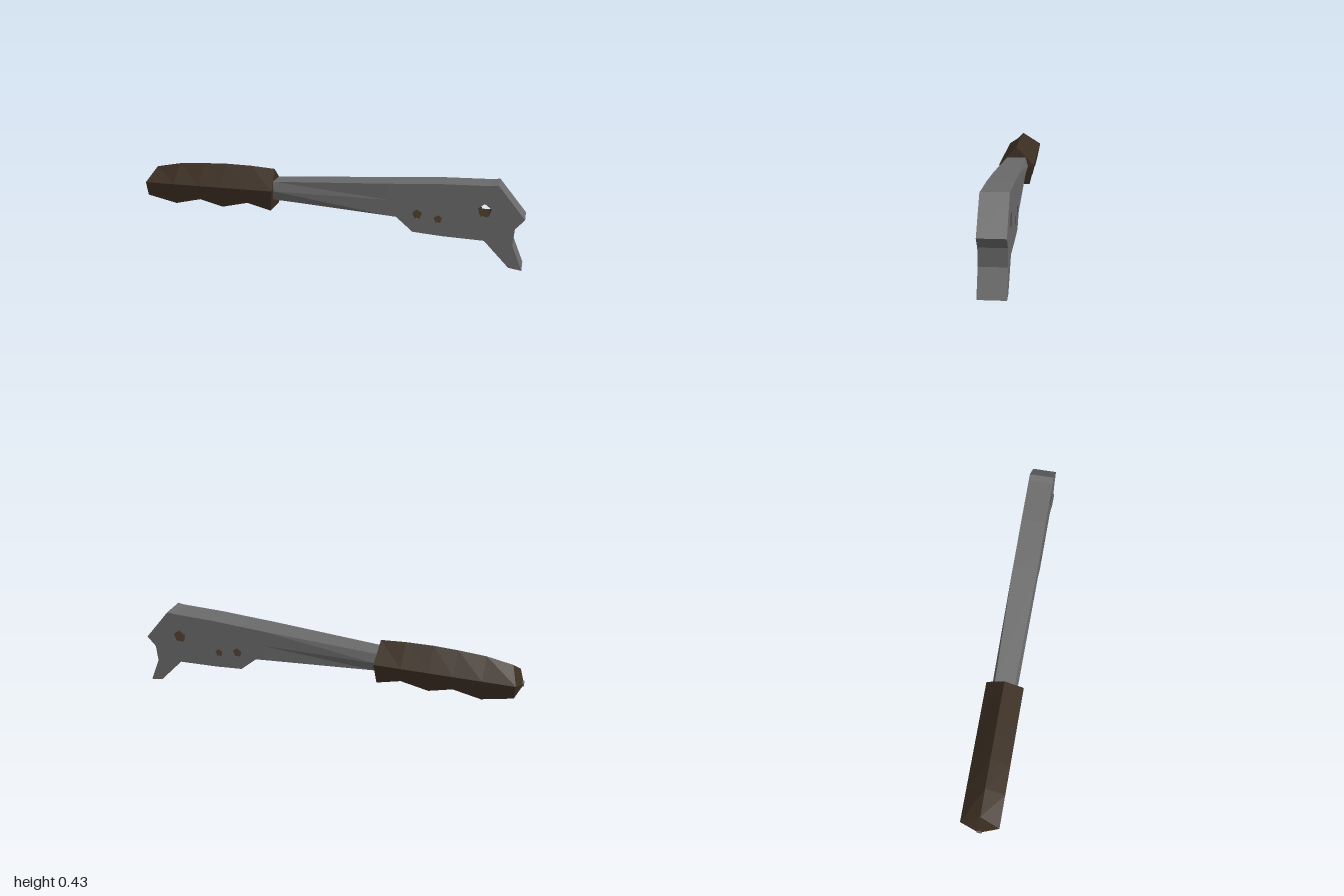
import * as THREE from 'three';

const steel = new THREE.MeshStandardMaterial({ color: 0x6a6a6a });
steel.name = 'steel';
const wood = new THREE.MeshStandardMaterial({ color: 0x3b2e22 });
wood.name = 'dark wood';

// Joins rings of [x, y, z] corners (running along +x) into a faceted solid;
// the optional start and end points close it with fans.
function loft(rings, start, end) {
  const p = [];
  const n = rings[0].length;
  for (let j = 0; j < n; j++) {
    const k = (j + 1) % n;
    for (let i = 0; i < rings.length - 1; i++) {
      const a = rings[i][j], b = rings[i][k], c = rings[i + 1][k], d = rings[i + 1][j];
      p.push(...a, ...b, ...c, ...a, ...c, ...d);
    }
    const first = rings[0], last = rings[rings.length - 1];
    if (start) p.push(...start, ...first[k], ...first[j]);
    if (end) p.push(...end, ...last[j], ...last[k]);
  }
  const g = new THREE.BufferGeometry();
  g.setAttribute('position', new THREE.Float32BufferAttribute(p, 3));
  g.computeVertexNormals();
  return g;
}

function addMesh(parent, name, geometry, material) {
  const mesh = new THREE.Mesh(geometry, material);
  mesh.name = name;
  parent.add(mesh);
  return mesh;
}

// Roof-topped grip section: ridge, widest line, and a narrower flat underside
function gripRing([x, top, bottom], ridgeX = x, sideX = x) {
  const w = 0.094, mid = 0.32;
  const wb = w - (mid - bottom) * 0.2;
  return [[ridgeX, top, 0], [sideX, mid, w], [x, bottom, wb], [x, bottom, -wb], [sideX, mid, -w]];
}

// Six-sided shank section, with bevels that fade out toward the head
function shankRing(x, bottom, top, edge, w) {
  const mid = (bottom + top) / 2;
  return [[x, top, edge], [x, mid, w], [x, bottom, edge], [x, bottom, -edge], [x, mid, -w], [x, top, -edge]];
}

export function createModel() {
  const model = new THREE.Group();
  model.name = 'bladedTool';
  const half = 0.0635;

  // Grip with finger scallops along the underside
  const grip = [
    gripRing([-0.965, 0.385, 0.247], -0.94, -0.97),
    ...[[-0.81, 0.41, 0.21], [-0.67, 0.42, 0.244], [-0.55, 0.425, 0.21], [-0.41, 0.423, 0.244]].map((s) => gripRing(s)),
    gripRing([-0.285, 0.415, 0.21], -0.283, -0.272),
  ];
  addMesh(model, 'grip', loft(grip, [-1, 0.29, 0], [-0.272, 0.31, 0]), wood);

  // Small steel tang end showing at the butt
  const tang = addMesh(model, 'tangEnd', new THREE.CylinderGeometry(0.014, 0.014, 0.02, 5).toNonIndexed(), steel);
  tang.geometry.computeVertexNormals();
  tang.rotation.z = Math.PI / 2;
  tang.position.set(-0.99, 0.29, 0);

  // Tapered shank
  const shank = [
    shankRing(-0.3, 0.267, 0.358, 0.05, half),
    shankRing(-0.27, 0.265, 0.36, 0.05, half),
    shankRing(0.33, 0.231, 0.398, half, half),
  ];
  addMesh(model, 'shank', loft(shank), steel);

  // Flat head with a hooked tip and pierced holes
  const outline = [
    [0.33, 0.398], [0.45, 0.405], [0.6, 0.415], [0.83, 0.422], [0.865, 0.427], [1, 0.263],
    [0.955, 0.212], [0.948, 0.127], [1, 0], [0.935, 0.01], [0.81, 0.14], [0.6, 0.146],
    [0.455, 0.156], [0.37, 0.228], [0.33, 0.231],
  ];
  const shape = new THREE.Shape(outline.map(([x, y]) => new THREE.Vector2(x, y)));
  const holes = [[0.475, 0.25, 0.026], [0.58, 0.232, 0.022], [0.805, 0.293, 0.036]];
  for (const [x, y, r] of holes) {
    const corners = [];
    for (let i = 0; i < 5; i++) {
      const a = Math.PI / 2 + (i * Math.PI * 2) / 5;
      corners.push(new THREE.Vector2(x + r * Math.cos(a), y + r * Math.sin(a)));
    }
    shape.holes.push(new THREE.Path(corners));

    // Dark lining on the walls of the hole
    const wall = corners.map((c) => c.clone().sub(new THREE.Vector2(x, y)).multiplyScalar(0.97));
    const lining = [];
    wall.forEach((a, i) => {
      const b = wall[(i + 1) % 5];
      const q = [[a.x, a.y, -half], [a.x, a.y, half], [b.x, b.y, half], [b.x, b.y, -half]];
      for (const j of [0, 1, 2, 0, 2, 3]) lining.push(...q[j]);
    });
    const g = new THREE.BufferGeometry();
    g.setAttribute('position', new THREE.Float32BufferAttribute(lining, 3));
    g.computeVertexNormals();
    addMesh(model, 'holeLining', g, wood).position.set(x, y, 0);
  }
  const head = new THREE.ExtrudeGeometry(shape, { depth: half * 2, bevelEnabled: false });
  head.translate(0, 0, -half);
  addMesh(model, 'head', head, steel);

  return model;
}
